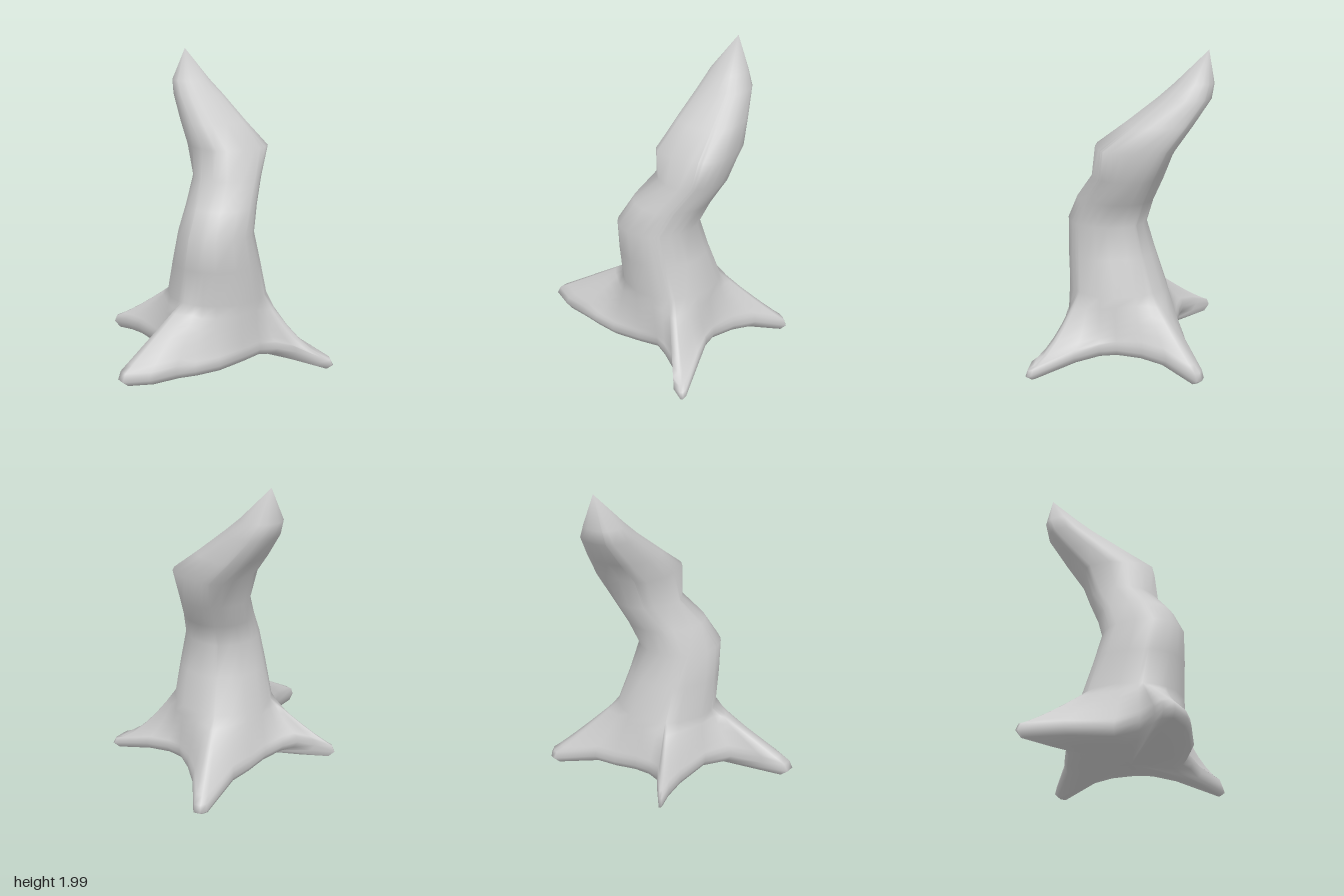
import * as THREE from 'three';

// Outer edge of each root and web, turning from +x towards +z, as [x, y, z].
// A larger fall makes the slope from the stem hollower.
const parts = {
  leftRoot: { fall: 1.7, edge: [
    [0.36, 0.15, -0.10], [0.50, 0.13, -0.01], [0.725, 0.05, 0.148], [0.735, 0.04, 0.17],
    [0.73, 0.04, 0.187], [0.66, 0.07, 0.21], [0.50, 0.12, 0.17], [0.38, 0.15, 0.19]] },
  frontWeb: { fall: 1.5, edge: [[0.27, 0.15, 0.21], [0.17, 0.14, 0.31], [0.02, 0.13, 0.45], [-0.12, 0.13, 0.54]] },
  frontRoot: { fall: 1, edge: [
    [-0.23, 0.14, 0.61], [-0.38, 0.13, 0.69], [-0.535, 0.13, 0.725],
    [-0.57, 0.13, 0.675], [-0.47, 0.16, 0.54], [-0.37, 0.18, 0.36]] },
  rightRoot: { fall: 1.2, edge: [
    [-0.38, 0.18, 0.18], [-0.55, 0.19, -0.04], [-0.65, 0.18, -0.15], [-0.735, 0.165, -0.222],
    [-0.735, 0.165, -0.24], [-0.61, 0.20, -0.213], [-0.50, 0.21, -0.18], [-0.40, 0.20, -0.21]] },
  backRoot: { fall: 1.1, edge: [
    [-0.28, 0.17, -0.27], [-0.17, 0.15, -0.38], [-0.06, 0.14, -0.48], [0.12, 0.055, -0.725],
    [0.16, 0.05, -0.735], [0.20, 0.055, -0.725], [0.20, 0.13, -0.50], [0.23, 0.15, -0.34]] },
  backWeb: { fall: 1.4, edge: [[0.28, 0.15, -0.18]] },
};
const rim = Object.values(parts).flatMap(({ fall, edge }) => edge.map(([x, y, z]) => ({ x, y, z, fall })));
const angles = rim.map(({ x, z }) => Math.atan2(z, x));

// Leaning stem: [y, centre x, centre z, radius x, radius z, flattening of the diagonals]
const stem = [
  [0.48, -0.02, 0.03, 0.32, 0.32, 0],
  [0.70, -0.02, 0.08, 0.28, 0.29, 0],
  [0.90, -0.02, 0.115, 0.24, 0.265, 0],
  [1.06, 0.01, 0.03, 0.225, 0.25, -0.02],
  [1.22, 0.04, -0.09, 0.22, 0.22, -0.05],
  [1.41, 0.04, -0.14, 0.26, 0.28, 0.14],
  [1.55, -0.06, -0.25, 0.215, 0.23, 0.08],
  [1.71, -0.165, -0.37, 0.165, 0.17, 0.03],
  [1.80, -0.215, -0.41, 0.125, 0.12, 0],
];

const EDGE = 0.035; // half thickness of the rim
const BELLY = 0.09; // height of the underside at its centre

function stemRing([y, cx, cz, rx, rz, flat]) {
  return angles.map((a) => {
    const k = 1 - flat * Math.sin(2 * a) ** 2;
    return [cx + k * rx * Math.cos(a), y, cz + k * rz * Math.sin(a)];
  });
}

// Underside, from the centre (t = 0) out to the rim (t = 1)
function underRing(t) {
  return rim.map(({ x, y, z }) => [x * t, BELLY + (y - EDGE - BELLY) * t * t, z * t]);
}

// Upper slope, from the stem (t = 0) out to the rim (t = 1)
function slopeRing(t) {
  return stemRing(stem[0]).map(([sx, sy, sz], i) => {
    const { x, y, z, fall } = rim[i];
    const top = y + EDGE;
    return [sx + (x - sx) * t, top + (sy - top) * (1 - t) ** fall, sz + (z - sz) * t];
  });
}

// Skins a list of rings and closes both ends with a point
function loft(rings, startPoint, endPoint) {
  const n = angles.length, index = [];
  const start = rings.length * n, end = start + 1, last = start - n;
  for (let i = 0; i < n; i++) {
    const j = (i + 1) % n;
    for (let r = 0; r < last; r += n) {
      index.push(r + i, r + i + n, r + j, r + j, r + i + n, r + j + n);
    }
    index.push(start, i, j, end, last + j, last + i);
  }
  const geo = new THREE.BufferGeometry();
  const pos = [...rings.flat(2), ...startPoint, ...endPoint];
  geo.setAttribute('position', new THREE.Float32BufferAttribute(pos, 3));
  geo.setIndex(index);
  geo.computeVertexNormals();
  return geo;
}

export function createModel() {
  const group = new THREE.Group();
  group.name = 'treeStump';

  // One continuous skin: underside, rim, root slopes, then the stem up to its slanted point
  const rings = [
    ...[0.35, 0.7, 0.95].map(underRing),
    rim.map(({ x, y, z }) => [x, y, z]),
    ...[0.96, 0.85, 0.68, 0.5, 0.33, 0.16].map(slopeRing),
    ...stem.map(stemRing),
  ];
  const trunk = new THREE.Mesh(
    loft(rings, [0, BELLY, 0], [-0.26, 2, -0.48]),
    new THREE.MeshStandardMaterial({ color: 0xcccccc }),
  );
  trunk.name = 'trunkWithRoots';
  group.add(trunk);
  return group;
}
